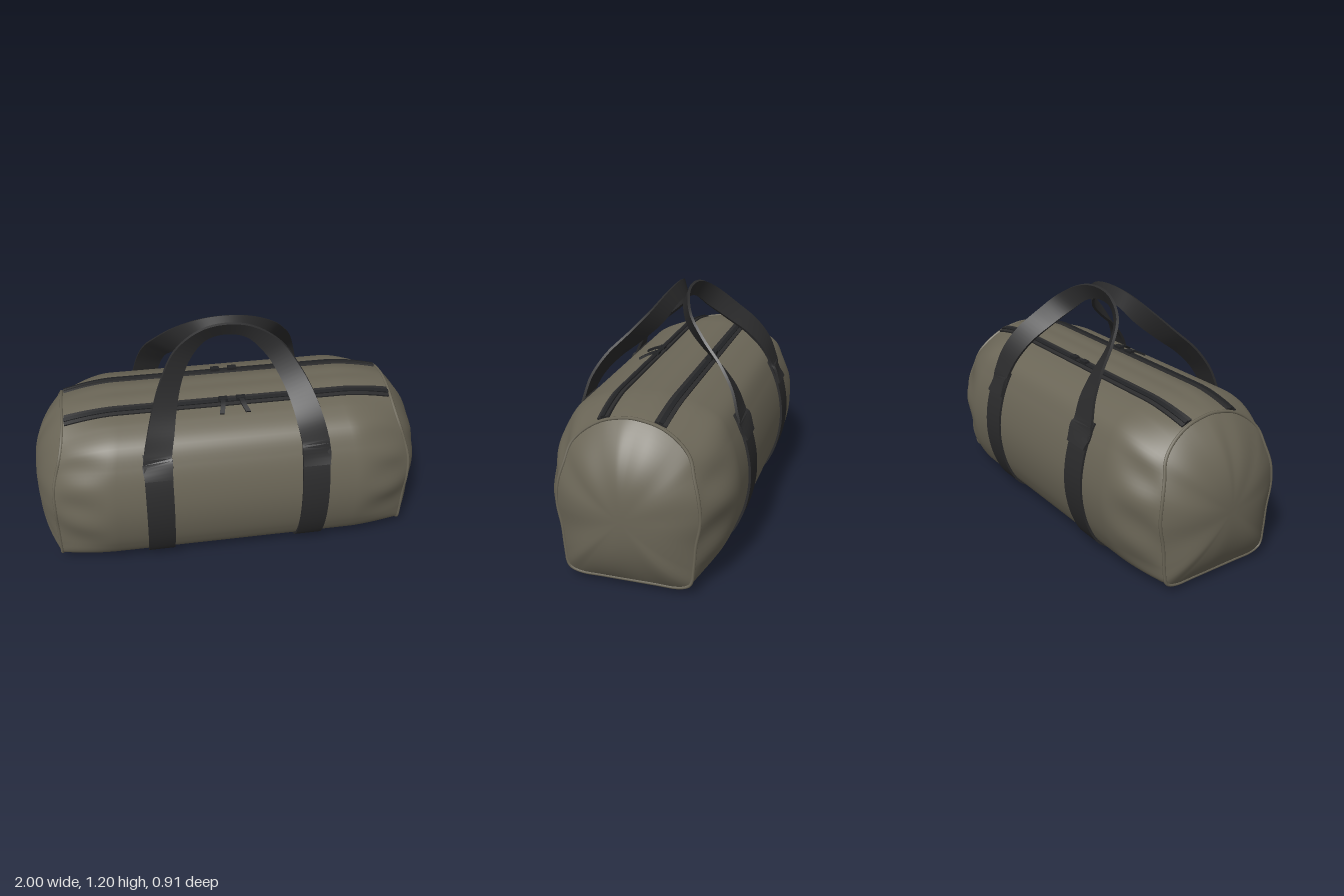
import * as THREE from 'three';
import { toCreasedNormals } from 'three/addons/utils/BufferGeometryUtils.js';
import { ParametricGeometry } from 'three/addons/geometries/ParametricGeometry.js';

const V = (x, y, z) => new THREE.Vector3(x, y, z);

// Half cross-sections as [z, y], from the bottom centre up the front to the top centre
const MIDDLE = [[0, .012], [.13, .012], [.25, .02], [.34, .07], [.40, .17], [.435, .29], [.445, .41],
  [.43, .53], [.395, .64], [.34, .735], [.24, .79], [.14, .815], [.06, .835], [0, .835]];
const END = [[0, .035], [.13, .035], [.24, .037], [.29, .06], [.305, .14], [.315, .26], [.335, .38],
  [.325, .49], [.30, .58], [.275, .66], [.215, .725], [.13, .775], [.05, .795], [0, .80]];
const COUNT = 26;

function sectionCurve(half) {
  const back = half.slice(1, -1).reverse().map(([z, y]) => [-z, y]);
  return new THREE.CatmullRomCurve3([...half, ...back].map(([z, y]) => V(0, y, z)), true);
}
const middleCurve = sectionCurve(MIDDLE);
const endCurve = sectionCurve(END);
const wrap = (s) => ((s % 1) + 1) % 1;
const seamX = (y) => .905 - .075 * THREE.MathUtils.smoothstep(y, .45, .8);

// Point on the fabric: s runs round the section, t from -1 to 1 between the end seams
function bodyPoint(s, t) {
  s = wrap(s);
  const a = Math.abs(t);
  const blend = Math.pow(Math.max(0, (a - .68) / .32), 1.7);
  const e = endCurve.getPoint(s);
  const p = middleCurve.getPoint(s).lerp(e, blend);
  // Gathers in the cloth towards the ends, strongest on the sides
  const side = Math.pow(Math.sin(2 * Math.PI * s), 2);
  const pucker = 4 * blend * (1 - blend) * side;
  const k = 1 + pucker * .022 * Math.sin(2 * Math.PI * 13 * s + 3 * t);
  p.z *= k;
  p.x = t * seamX(e.y);
  return p;
}

// Domed end panel: r = 1 on the seam, 0 in the middle
function endPoint(s, r) {
  const p = endCurve.getPoint(wrap(s));
  const x0 = seamX(p.y);
  const crease = .006 * Math.sin(2 * Math.PI * 9 * s) * Math.pow(r, 3) * (1 - r) * 4;
  return V(x0 + (1 - x0) * (1 - Math.pow(r, 2.6)) + crease, .38 + (p.y - .38) * r, p.z * r);
}

// Flat webbing swept along a path; width(u) is half its width as a vector
function ribbon(center, width, thick, shift, steps) {
  const pos = [], idx = [];
  for (let i = 0; i <= steps; i++) {
    const u = i / steps;
    const c = center(u), w = width(u);
    const tangent = center(Math.min(1, u + .002)).sub(center(Math.max(0, u - .002)));
    const n = tangent.cross(w).normalize();
    c.addScaledVector(n, shift);
    for (const [a, b] of [[1, 1], [-1, 1], [-1, -1], [1, -1]]) {
      pos.push(...c.clone().addScaledVector(w, a).addScaledVector(n, b * thick / 2).toArray());
    }
    if (i === steps) break;
    for (let k = 0; k < 4; k++) {
      const a = 4 * i + k, b = 4 * i + (k + 1) % 4;
      idx.push(a, b, b + 4, a, b + 4, a + 4);
    }
  }
  const l = 4 * steps;
  idx.push(0, 2, 1, 0, 3, 2, l, l + 1, l + 2, l, l + 2, l + 3);
  const g = new THREE.BufferGeometry();
  g.setAttribute('position', new THREE.Float32BufferAttribute(pos, 3));
  g.setIndex(idx);
  return toCreasedNormals(g, .7);
}

export function createModel() {
  const bag = new THREE.Group();
  bag.name = 'duffelBag';
  const fabric = new THREE.MeshStandardMaterial({ color: 0x6b6657 });
  fabric.name = 'olive fabric';
  const webbing = new THREE.MeshStandardMaterial({ color: 0x2b2b2c });
  webbing.name = 'black webbing';
  const zipMat = new THREE.MeshStandardMaterial({ color: 0x222325 });
  zipMat.name = 'dark zip';

  function add(name, geometry, material, parent = bag) {
    const mesh = new THREE.Mesh(geometry, material);
    mesh.name = name;
    parent.add(mesh);
    return mesh;
  }

  // Main barrel
  add('body', new ParametricGeometry((u, v, out) => out.copy(bodyPoint(v, u * 2 - 1)), 72, 130), fabric);

  // End panels with piped seams
  const seam = [];
  for (let i = 0; i < 78; i++) seam.push(bodyPoint(i / 78, 1));
  const seamCurve = new THREE.CatmullRomCurve3(seam, true);
  for (const [side, turn] of [['left', 0], ['right', Math.PI]]) {
    const end = new THREE.Group();
    end.name = side + 'End';
    end.rotation.y = turn;
    bag.add(end);
    add(side + 'EndPanel', new ParametricGeometry(
      (u, v, out) => out.copy(endPoint(u, .002 + .998 * v)), 104, 18), fabric, end);
    add(side + 'Piping', new THREE.TubeGeometry(seamCurve, 156, .008, 6, true), fabric, end);
  }

  // Straps running under the bag and up both sides
  const reach = 8.65 / COUNT;
  for (const [side, x] of [['left', .39], ['right', -.39]]) {
    add(side + 'Strap', ribbon((u) => {
      const p = middleCurve.getPoint(wrap((u * 2 - 1) * reach));
      p.x = x;
      return p;
    }, () => V(.068, 0, 0), .012, -.006, 70), webbing);
  }

  // Carry handles: half of the path and of the width, mirrored to the other side
  const path = [[.39, .59, .432], [.388, .69, .389], [.365, .80, .345], [.335, .90, .27],
    [.29, .99, .17], [.225, 1.075, .085], [.12, 1.145, .038], [0, 1.165, .025]];
  const wide = [[.068, 0, 0], [.068, 0, 0], [.064, .012, .006], [.056, .022, .012],
    [.048, .028, .018], [.038, .036, .018], [.015, .036, .016], [0, .036, .016]];
  const mirrored = (half) => new THREE.CatmullRomCurve3(
    [...half, ...half.slice(0, -1).reverse().map(([x, y, z]) => [-x, y, z])].map((p) => V(...p)));
  const handlePath = mirrored(path), handleWidth = mirrored(wide);
  const handleGeometry = ribbon((u) => handlePath.getPoint(u), (u) => handleWidth.getPoint(u), .013, 0, 84);
  add('frontHandle', handleGeometry, webbing);
  add('backHandle', handleGeometry, webbing).rotation.y = Math.PI;

  // Two zips along the top, each with a raised row of teeth
  for (const [side, index] of [['front', 11], ['back', 15]]) {
    const s = index / COUNT;
    const strip = (half, thick, shift) => ribbon(
      (u) => bodyPoint(s, (u * 2 - 1) * .985),
      (u) => {
        const t = (u * 2 - 1) * .985;
        const w = bodyPoint(s + .01, t).sub(bodyPoint(s - .01, t));
        w.x = 0;
        return w.setLength(half);
      }, thick, shift, 60);
    add(side + 'ZipTape', strip(.029, .012, .003), webbing);
    add(side + 'ZipTeeth', strip(.01, .012, .009), zipMat);

    // Sliders, with dangling pulls on the front zip
    for (const x of [-.035, .055]) {
      const z = side === 'front' ? .14 : -.14;
      add(side + 'ZipSlider', new THREE.BoxGeometry(.045, .018, .03), zipMat).position.set(x, .832, z);
      if (side === 'back') continue;
      const hang = new THREE.CatmullRomCurve3([V(x, .838, .14), V(x * 1.1 , .828, .175), V(x * 1.45, .803, .225)]);
      add('zipPull', ribbon((u) => hang.getPoint(u), () => V(.012, 0, 0), .01, 0, 8), zipMat);
    }
  }
  return bag;
}
